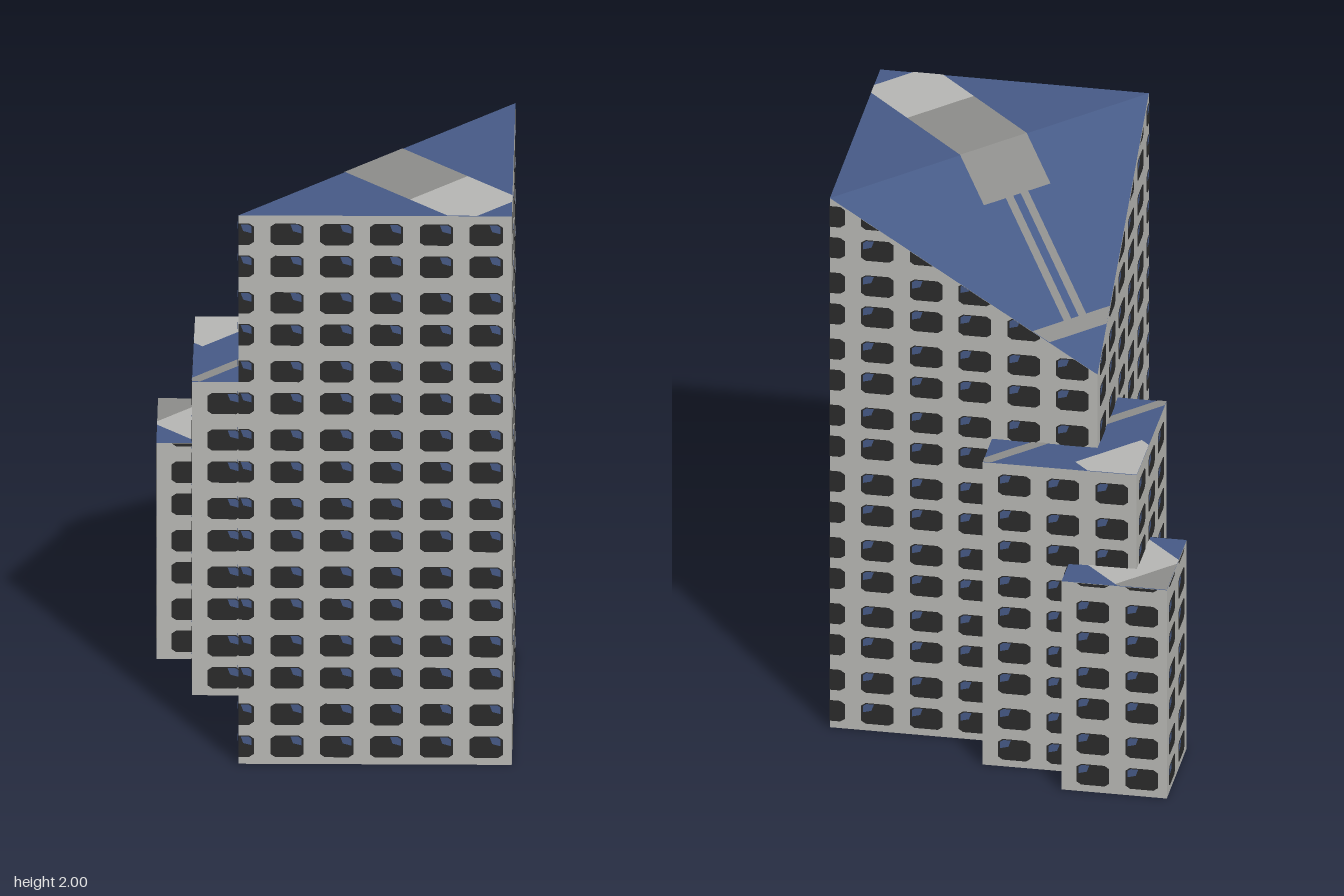
import * as THREE from 'three';

const mat = (name, color) => Object.assign(new THREE.MeshStandardMaterial({ color, side: THREE.DoubleSide }), { name });

// Order a 2D polygon counter-clockwise
const ccw = (p) => {
  const area = p.reduce((s, a, i) => { const b = p[(i + 1) % p.length]; return s + a[0] * b[1] - b[0] * a[1]; }, 0);
  return area < 0 ? [...p].reverse() : p;
};

// Cut polygon p down to the part inside the convex polygon c
function clip(p, c) {
  c = ccw(c);
  for (let i = 0; i < c.length && p.length; i++) {
    const a = c[i], b = c[(i + 1) % c.length];
    const side = (q) => (b[0] - a[0]) * (q[1] - a[1]) - (b[1] - a[1]) * (q[0] - a[0]);
    const out = [];
    p.forEach((q, j) => {
      const r = p[(j + 1) % p.length], s = side(q), t = side(r);
      if (s >= 0) out.push(q);
      if ((s > 0 && t < 0) || (s < 0 && t > 0)) {
        const k = s / (s - t);
        out.push([q[0] + k * (r[0] - q[0]), q[1] + k * (r[1] - q[1])]);
      }
    });
    p = out;
  }
  return p.length > 2 ? p : [];
}

// Append a flat polygon as a triangle fan facing the given direction
function addFace(list, pts, facing) {
  for (let i = 1; i < pts.length - 1; i++) {
    const [a, b, c] = [pts[0], pts[i], pts[i + 1]];
    const n = b.clone().sub(a).cross(c.clone().sub(a));
    for (const v of n.dot(facing) > 0 ? [a, b, c] : [a, c, b]) list.push(v.x, v.y, v.z);
  }
}

const rect = (x0, z0, x1, z1) => [[x0, z0], [x1, z0], [x1, z1], [x0, z1]];

// Window pane and its blue glint, relative to the window centre
const H = 0.039, C = 0.011;
const PANE = [[-H + C, -H], [H - C, -H], [H, -H + C], [H, H - C], [H - C, H], [-H + C, H], [-H, H - C], [-H, -H + C]];
const GLINT = [[0.014, 0.012], [0.034, 0.004], [0.034, 0.028], [0.026, 0.036], [0.008, 0.036]];

// Painted roof bands in plan (x, z)
const BANDS = {
  lightRoof: [rect(-0.15, 0.51, 0.118, 0.76), rect(-0.15, -0.71, 0.118, -0.475)],
  darkRoof: [
    rect(-0.15, 0.06, 0.118, 0.51), rect(-0.06, -0.28, -0.03, 0.06), rect(0, -0.28, 0.03, 0.06),
    rect(-0.37, -0.32, 0.37, -0.28), rect(-0.15, -0.84, 0.118, -0.71),
  ],
};

export function createModel() {
  const model = new THREE.Group();
  model.name = 'officeTower';
  const mats = {
    wall: mat('concrete', 0xb8b8b4),
    pane: mat('darkGlass', 0x2b2b2b),
    blue: mat('roofBlue', 0x465a86),
    lightRoof: mat('lightRoofGrey', 0xb6b6b3),
    darkRoof: mat('darkRoofGrey', 0x8c8c8a),
  };

  // One tower section: walls along a plan path, windows, and roof planes
  function section(name, path, topAt, roofs) {
    const lists = { walls: [], windows: [], glints: [], roof: [], lightRoof: [], darkRoof: [] };
    for (let i = 0; i < path.length - 1; i++) {
      const a = path[i], b = path[i + 1];
      const out = new THREE.Vector3(a[1] - b[1], 0, b[0] - a[0]).normalize();
      const outline = [[a[0], 0], [b[0], 0], [b[0], topAt(b[1])], [a[0], topAt(a[1])]];
      const place = (poly, off) => poly.map(([x, y]) =>
        new THREE.Vector3(x, y, a[1] + ((x - a[0]) / (b[0] - a[0])) * (b[1] - a[1])).addScaledVector(out, off));
      addFace(lists.walls, place(outline, 0), out);
      // Window grid, cut off at wall edges and seen from both sides
      for (let col = 0; col < 6; col++) for (const s of [-1, 1]) for (let row = 0; row < 16; row++) {
        const cx = s * (0.06 + 0.117 * col);
        const cy = 0.065 + 0.25 * Math.floor(row / 2) + 0.117 * (row % 2);
        const cut = (shape) => clip(shape.map(([x, y]) => [x + cx, y + cy]), outline);
        const pane = cut(PANE), glint = cut(GLINT);
        for (const d of [-1, 1]) {
          const facing = out.clone().multiplyScalar(d);
          addFace(lists.windows, place(pane, d * 0.002), facing);
          addFace(lists.glints, place(glint, d * 0.003), facing);
        }
      }
    }
    // Roof planes with thin painted bands
    const up = new THREE.Vector3(0, 1, 0);
    for (const roof of roofs) {
      const lift = (poly, off) => poly.map(([x, z]) => new THREE.Vector3(x, topAt(z) + off, z));
      addFace(lists.roof, lift(roof, 0), up);
      for (const key in BANDS) for (const band of BANDS[key]) addFace(lists[key], lift(clip(band, roof), 0.002), up);
    }
    const group = new THREE.Group();
    group.name = name;
    const parts = [['walls', 'wall'], ['windows', 'pane'], ['glints', 'blue'], ['roof', 'blue'],
      ['lightRoof', 'lightRoof'], ['darkRoof', 'darkRoof']];
    for (const [part, m] of parts) {
      if (!lists[part].length) continue;
      const g = new THREE.BufferGeometry();
      g.setAttribute('position', new THREE.Float32BufferAttribute(lists[part], 3));
      g.computeVertexNormals();
      const mesh = new THREE.Mesh(g, mats[m]);
      mesh.name = part;
      group.add(mesh);
    }
    model.add(group);
  }

  // Main diamond tower with a roof sloping down to the back
  const F = [0, 0.84], R = [0.642, 0.2], B = [0, -0.434], L = [-0.642, 0.2];
  section('mainTower', [F, R, B, L, F], (z) => 2 - Math.max(0, 0.2 - z) * (0.58 / 0.634), [[L, F, R], [L, R, B]]);

  // Two lower sections stepping down at the back
  const mid = [[0.253, -0.184], [0.37, -0.3], [0, -0.664], [-0.37, -0.3], [-0.253, -0.184]];
  section('middleTower', mid, () => 1.143, [mid]);
  const low = [[0.163, -0.503], [0.252, -0.59], [0, -0.84], [-0.252, -0.59], [-0.163, -0.503]];
  section('lowTower', low, () => 0.787, [low]);
  return model;
}
